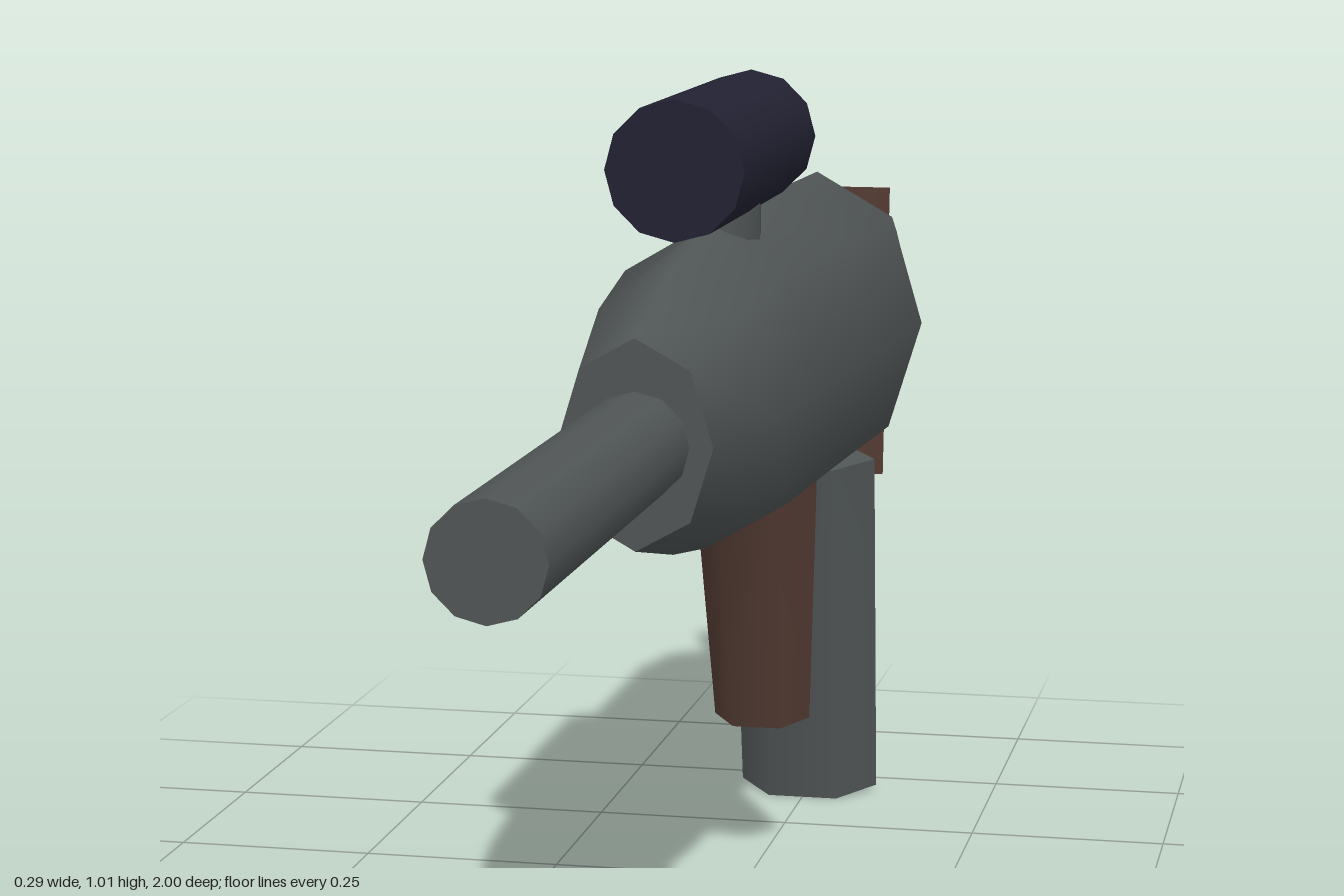
import * as THREE from 'three';
import { toCreasedNormals } from 'three/addons/utils/BufferGeometryUtils.js';

const material = (name, color) => {
  const m = new THREE.MeshStandardMaterial({ color });
  m.name = name;
  return m;
};

// Eight-sided hull lofted through rings: [zTop, zBottom, yTop, yBottom, halfWidth]
function loftHull(rings, sides = 8) {
  const pos = [], index = [];
  for (const [zt, zb, yt, yb, hw] of rings) {
    for (let j = 0; j < sides; j++) {
      const a = (j / sides) * Math.PI * 2;
      const t = (Math.sin(a) + 1) / 2;
      pos.push(Math.cos(a) * hw, yb + (yt - yb) * t, zb + (zt - zb) * t);
    }
  }
  for (let i = 0; i < rings.length - 1; i++) {
    for (let j = 0; j < sides; j++) {
      const a = i * sides + j, b = i * sides + (j + 1) % sides;
      index.push(a, a + sides, b, b, a + sides, b + sides);
    }
  }
  // End caps
  const last = (rings.length - 1) * sides;
  for (let j = 1; j < sides - 1; j++) {
    index.push(0, j, j + 1, last, last + j + 1, last + j);
  }
  const geo = new THREE.BufferGeometry();
  geo.setAttribute('position', new THREE.Float32BufferAttribute(pos, 3));
  geo.setIndex(index);
  return toCreasedNormals(geo, 1.05);
}

export function createModel() {
  const model = new THREE.Group();
  const metal = material('grey metal', 0x505555);
  const wood = material('brown grip', 0x523a32);
  const dark = material('dark scope', 0x222233);

  const add = (name, geo, mat) => {
    const mesh = new THREE.Mesh(geo, mat);
    mesh.name = name;
    model.add(mesh);
    return mesh;
  };

  // Flattened six-sided bar between two [y, z] points
  const bar = (name, top, bottom, wTop, wBottom, thick, mat) => {
    const dy = top[0] - bottom[0], dz = top[1] - bottom[1];
    const geo = new THREE.CylinderGeometry(wTop, wBottom, Math.hypot(dy, dz), 6, 1, false, Math.PI / 2);
    geo.scale(1, 1, thick / ((wTop + wBottom) * Math.sin(Math.PI / 3)));
    const mesh = add(name, toCreasedNormals(geo, 1.1), mat);
    mesh.position.set(0, (top[0] + bottom[0]) / 2, (top[1] + bottom[1]) / 2);
    mesh.rotation.x = Math.atan2(dz, dy);
  };

  // Round bar along z
  const tube = (name, r, zFront, zBack, y, mat) => {
    const geo = new THREE.CylinderGeometry(r, r, zFront - zBack, 12);
    geo.rotateX(Math.PI / 2);
    add(name, geo, mat).position.set(0, y, (zFront + zBack) / 2);
  };

  add('body', loftHull([
    [0.39, 0.39, 0.78, 0.55, 0.085],
    [0.2, 0.2, 0.83, 0.508, 0.118],
    [0.02, 0.02, 0.858, 0.479, 0.134],
    [-0.35, -0.35, 0.853, 0.465, 0.142],
    [-0.72, -0.7, 0.845, 0.447, 0.145],
    [-0.86, -0.795, 0.805, 0.443, 0.125],
    [-0.945, -0.815, 0.72, 0.442, 0.085],
  ]), metal);

  tube('barrel', 0.059, 1, 0.36, 0.664, metal);
  tube('scope', 0.079, 0.19, -0.255, 0.936, dark);

  // Oval mount joining the scope to the body
  const mount = new THREE.CylinderGeometry(0.045, 0.045, 0.07, 12);
  mount.scale(1, 1, 1.75);
  add('scopeMount', mount, metal).position.set(0, 0.838, -0.075);

  bar('foregrip', [0.51, -0.285], [0.19, -0.337], 0.078, 0.061, 0.09, wood);
  bar('magazine', [0.475, -0.62], [0.01, -0.685], 0.097, 0.093, 0.112, metal);
  bar('stock', [0.8, -0.957], [0.4, -0.916], 0.062, 0.062, 0.08, wood);

  return model;
}
